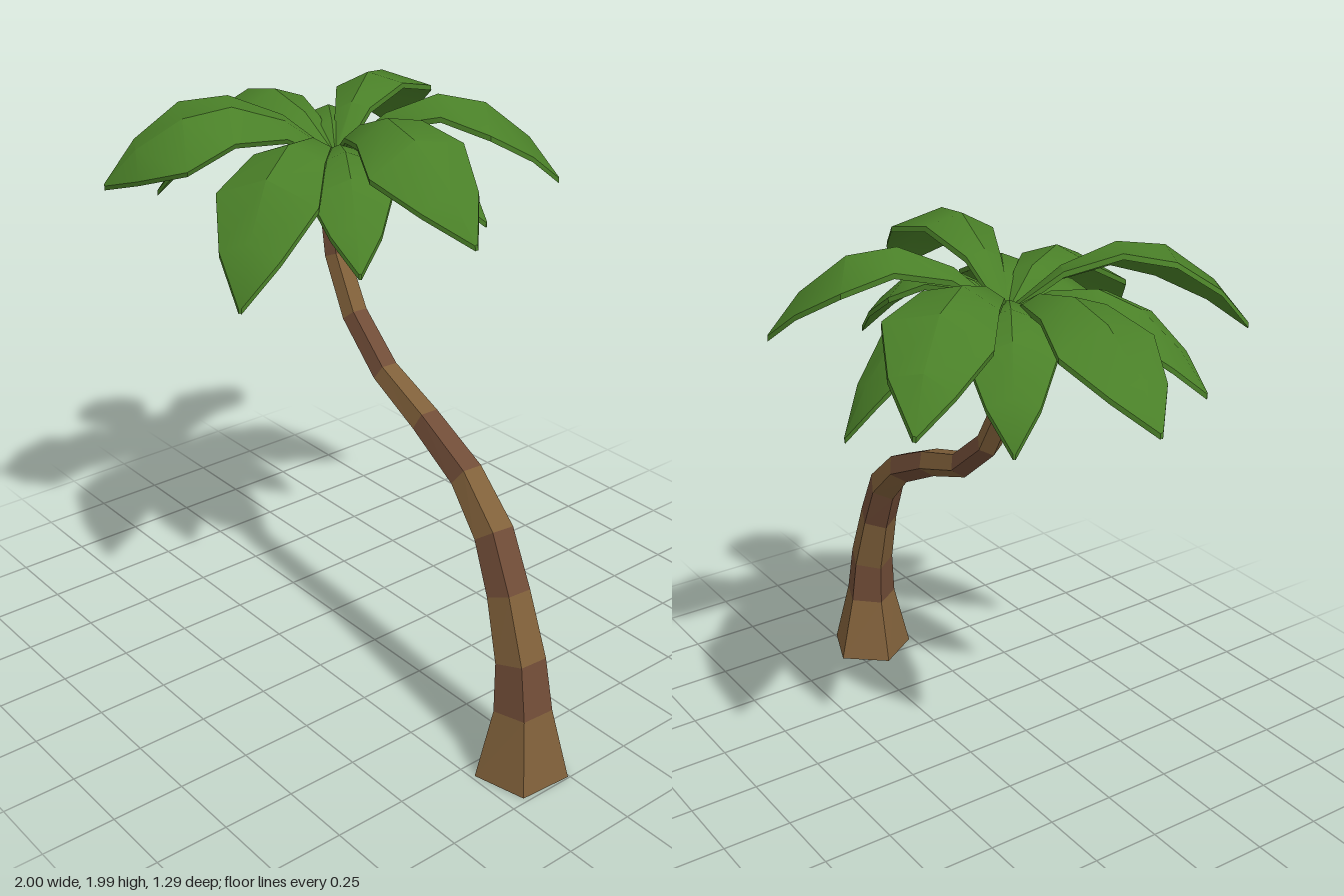
import * as THREE from 'three';
import { toCreasedNormals } from 'three/addons/utils/BufferGeometryUtils.js';

const V = (x, y, z) => new THREE.Vector3(x, y, z);

// Skins a list of equal-sized point rings, optionally closing both ends.
function loft(rings, capped) {
  const pos = [];
  const tri = (a, b, c) => pos.push(...a.toArray(), ...b.toArray(), ...c.toArray());
  const n = rings[0].length;
  for (let i = 0; i < rings.length - 1; i++) {
    for (let j = 0; j < n; j++) {
      const k = (j + 1) % n;
      const a = rings[i][j], b = rings[i][k], c = rings[i + 1][j], d = rings[i + 1][k];
      tri(a, c, b);
      tri(b, c, d);
    }
  }
  if (capped) {
    const first = rings[0], last = rings[rings.length - 1];
    for (let j = 1; j < n - 1; j++) {
      tri(first[0], first[j], first[j + 1]);
      tri(last[0], last[j + 1], last[j]);
    }
  }
  const geo = new THREE.BufferGeometry();
  geo.setAttribute('position', new THREE.Float32BufferAttribute(pos, 3));
  geo.computeVertexNormals();
  return geo;
}

// Trunk stations: x, y, z, radius
const TRUNK = [
  [0.862, 0, 0.09, 0.158], [0.86, 0.245, 0.093, 0.098], [0.838, 0.415, 0.09, 0.084],
  [0.77, 0.625, 0.087, 0.072], [0.685, 0.795, 0.076, 0.067], [0.537, 0.93, 0.06, 0.058],
  [0.323, 1.037, 0.048, 0.052], [0.095, 1.122, 0.028, 0.047], [-0.083, 1.268, 0.016, 0.045],
  [-0.193, 1.45, 0.006, 0.042], [-0.232, 1.61, 0, 0.038], [-0.233, 1.755, -0.01, 0.033],
];

function trunkRings() {
  const centres = TRUNK.map(([x, y, z]) => V(x, y, z));
  return TRUNK.map(([, , , r], i) => {
    const tangent = i === 0 ? V(0, 1, 0)
      : centres[Math.min(i + 1, centres.length - 1)].clone().sub(centres[i - 1]).normalize();
    const u = tangent.clone().cross(V(0, 0, 1)).normalize();
    const v = u.clone().cross(tangent);
    return Array.from({ length: 5 }, (_, k) => {
      const a = THREE.MathUtils.degToRad(-104 + 72 * k);
      return centres[i].clone().addScaledVector(u, r * Math.cos(a)).addScaledVector(v, r * Math.sin(a));
    });
  });
}

// Leaf outline: position along the leaf, half-width relative to the widest point
const OUTLINE = [[0, 0.1], [0.22, 0.36], [0.45, 0.7], [0.66, 1], [0.86, 0.6], [1, 0.03]];
const CROWN = V(-0.23, 1.78, -0.02);

// Arched leaf with a raised midrib; skew shifts it sideways, roll tilts its section
function leafGeometry(tip, width, arch, skew, roll) {
  const along = tip.clone().sub(CROWN);
  const side = V(along.x, 0, along.z).normalize().cross(V(0, 1, 0));
  const cos = Math.cos(roll), sin = Math.sin(roll);
  const thick = 0.018;
  const rings = OUTLINE.map(([t, s]) => {
    const w = width * s;
    const ridge = CROWN.clone().addScaledVector(along, t).addScaledVector(side, skew * w);
    ridge.y += 4 * arch * t * (1 - t) * (0.88 + 0.24 * t);
    const at = (f, drop) => ridge.clone().addScaledVector(side, f * w * cos + drop * sin)
      .add(V(0, f * w * sin - drop * cos, 0));
    const droop = 0.38 * w;
    return [at(1, droop), at(0, 0), at(-1, droop),
      at(-1, droop + thick), at(0, thick), at(1, droop + thick)];
  });
  return toCreasedNormals(loft(rings, true), 0.6);
}

// Leaves: tip x, y, z, half-width, arch, skew, roll
const UPPER = [
  [-1.0, 1.66, -0.04, 0.168, 0.205, 0, 0], [-0.68, 1.68, -0.64, 0.17, 0.24, 0.15, 0.12],
  [0.21, 1.69, -0.62, 0.168, 0.245, 0, 0], [0.55, 1.71, 0.06, 0.175, 0.25, 0.24, -0.15],
  [0.11, 1.51, 0.61, 0.175, 0.25, 0.12, 0], [-0.6, 1.72, 0.64, 0.18, 0.225, -0.5, 0.38],
];
const LOWER = [
  [-0.71, 1.56, -0.33, 0.13, 0.2, 0, 0], [-0.13, 1.45, -0.55, 0.14, 0.22, 0, 0],
  [0.26, 1.63, -0.25, 0.12, 0.17, 0, 0], [0.3, 1.6, 0.3, 0.13, 0.18, 0, 0],
  [-0.09, 1.61, 0.46, 0.14, 0.14, 0, 0], [-0.75, 1.6, 0.35, 0.13, 0.19, 0, 0],
];

export function createModel() {
  const model = new THREE.Group();
  model.name = 'palmTree';

  // Hollow trunk, open at the foot, with bands in two alternating browns
  const trunk = new THREE.Group();
  trunk.name = 'trunk';
  const barks = [0x80603a, 0x704c37].map((color) =>
    new THREE.MeshStandardMaterial({ color, flatShading: true, side: THREE.DoubleSide }));
  const rings = trunkRings();
  for (let i = 0; i < rings.length - 1; i++) {
    const band = new THREE.Mesh(loft([rings[i], rings[i + 1]], false), barks[i % 2]);
    band.name = `trunkBand${i + 1}`;
    trunk.add(band);
  }
  model.add(trunk);

  // Two tiers of leaves
  const green = new THREE.MeshStandardMaterial({ color: 0x4a8028 });
  for (const [name, tier] of [['upperLeaf', UPPER], ['lowerLeaf', LOWER]]) {
    const group = new THREE.Group();
    group.name = `${name}Tier`;
    tier.forEach(([x, y, z, ...shape], i) => {
      const leaf = new THREE.Mesh(leafGeometry(V(x, y, z), ...shape), green);
      leaf.name = `${name}${i + 1}`;
      group.add(leaf);
    });
    model.add(group);
  }
  return model;
}
